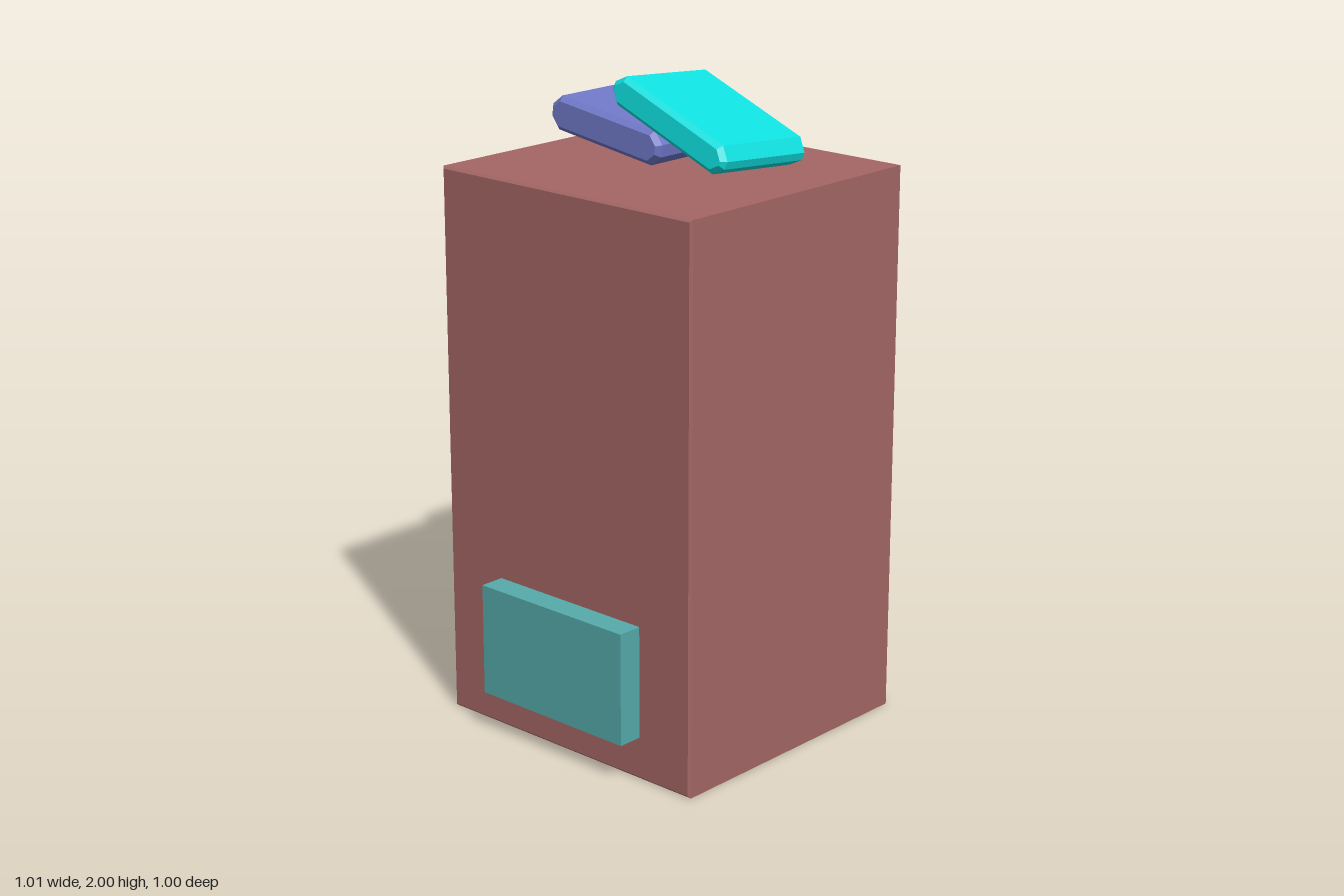
import * as THREE from 'three';

const mat = (color) => new THREE.MeshStandardMaterial({ color });

// Box given by its min and max corners
function block(name, min, max, material) {
  const size = max.map((v, i) => v - min[i]);
  const mesh = new THREE.Mesh(new THREE.BoxGeometry(...size), material);
  mesh.position.set(...max.map((v, i) => (v + min[i]) / 2));
  mesh.name = name;
  return mesh;
}

function rectPoints(x0, y0, x1, y1) {
  return [[x0, y0], [x1, y0], [x1, y1], [x0, y1]].map((p) => new THREE.Vector2(...p));
}

// Profile extruded along x with a small chamfer at both ends, total length len
function extrudeAlongX(shape, len, bevel) {
  const geo = new THREE.ExtrudeGeometry(shape, {
    depth: len - 2 * bevel, bevelEnabled: true, bevelSegments: 1,
    bevelSize: bevel, bevelThickness: bevel, bevelOffset: -bevel,
  });
  geo.translate(0, 0, bevel - len / 2);
  geo.rotateY(Math.PI / 2);
  return geo;
}

// Slab with generously chamfered long edges
function book(name, [width, height, length], material, position, rotation) {
  const l = length / 2, h = height / 2, cl = 0.035, ch = 0.035;
  const shape = new THREE.Shape([
    [l - cl, -h], [l, -h + ch], [l, h - ch], [l - cl, h],
    [cl - l, h], [-l, h - ch], [-l, ch - h], [cl - l, -h],
  ].map((p) => new THREE.Vector2(...p)));
  const mesh = new THREE.Mesh(extrudeAlongX(shape, width, 0.015), material);
  mesh.position.set(...position);
  mesh.rotation.set(...rotation);
  mesh.name = name;
  return mesh;
}

export function createModel() {
  const model = new THREE.Group();
  model.name = 'shelfCabinet';
  const red = mat(0xa56666), grey = mat(0xcccccc);

  // Cabinet shell, open towards +x
  const outline = new THREE.Shape(rectPoints(-0.4975, 0, 0.4975, 1.74));
  outline.holes.push(new THREE.Path(rectPoints(-0.48, 0.017, 0.48, 1.723).reverse()));
  const shell = new THREE.Mesh(extrudeAlongX(outline, 0.935, 0.007), red);
  shell.position.set(0.0375, 0, -0.0025);
  shell.name = 'cabinetShell';
  model.add(shell);
  model.add(block('cabinetBack', [-0.43, 0.008, -0.49], [-0.41, 1.732, 0.485], red));

  // Closed compartments at top and bottom
  model.add(block('topCompartment', [-0.41, 1.47, -0.48], [0.44, 1.725, 0.477], grey));
  model.add(block('bottomCompartment', [-0.41, 0.015, -0.48], [0.415, 0.44, 0.477], grey));

  // Shelves
  for (const y of [0.605, 0.852, 1.18]) {
    model.add(block('shelf', [-0.41, y, -0.482], [0.45, y + 0.036, 0.48], grey));
  }

  // Service panel passing through the closed side
  model.add(block('sidePanel', [-0.51, 0.135, -0.28], [-0.37, 0.488, 0.296], mat(0x56aaaa)));

  // Two books leaning on each other on the top
  model.add(book('lowerBook', [0.378, 0.108, 0.455], mat(0x7078c8),
    [0.16, 1.823, -0.222], [0.14, 0, 0]));
  model.add(book('upperBook', [0.372, 0.095, 0.49], mat(0x10e0e0),
    [0.128, 1.87, 0.062], [0.36, -0.04, -0.07]));

  return model;
}
